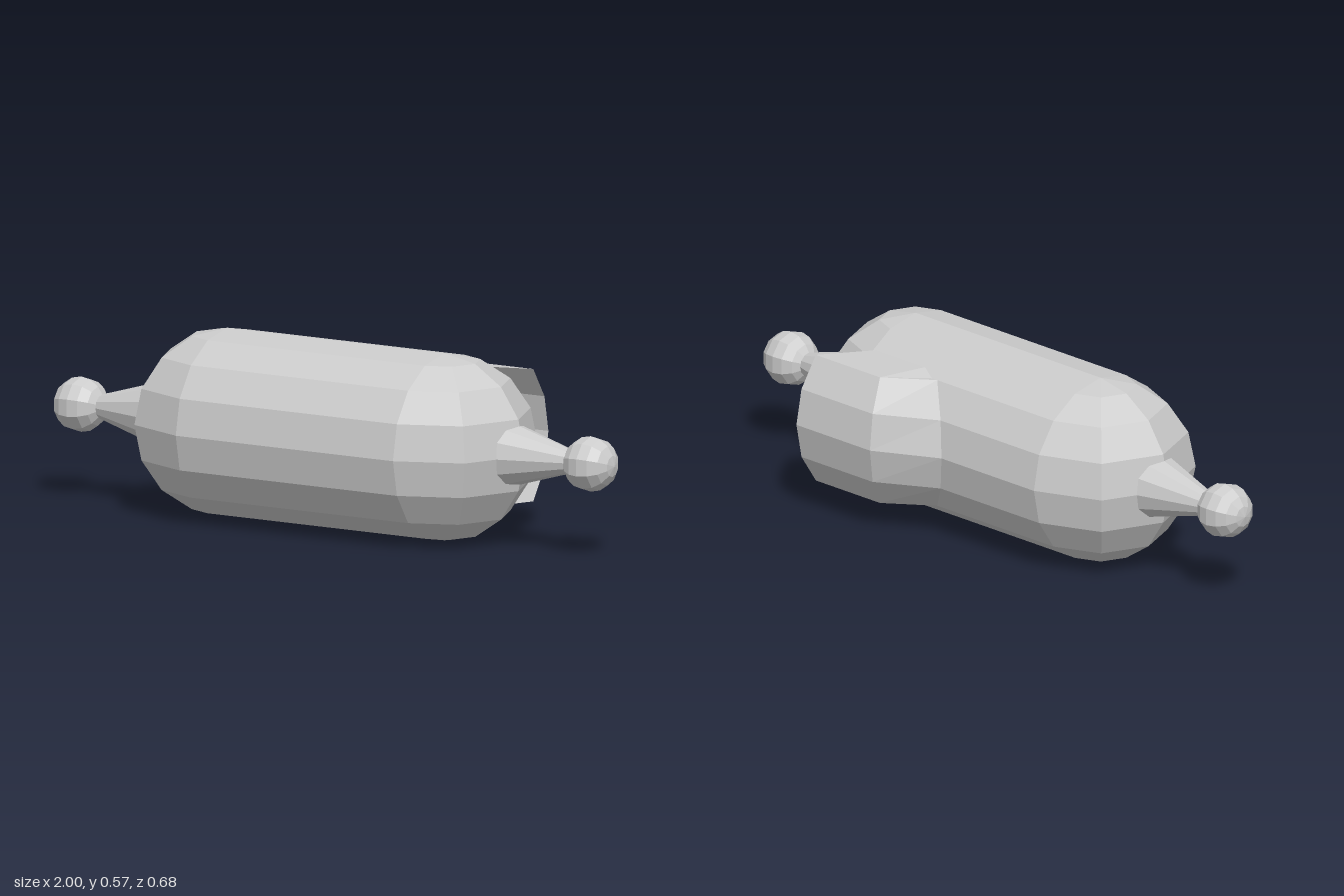
import * as THREE from 'three';

const R = 0.287, CY = 0.289, CZ = 0.052, HALF = 0.39;

export function createModel() {
  const model = new THREE.Group();
  const mat = new THREE.MeshStandardMaterial({ color: 0xcccccc, flatShading: true });
  const thin = new THREE.MeshStandardMaterial({ color: 0xcccccc, flatShading: true, side: THREE.DoubleSide });

  const add = (name, geometry, x, material = mat) => {
    const mesh = new THREE.Mesh(geometry, material);
    mesh.name = name;
    mesh.position.set(x, CY, CZ);
    model.add(mesh);
  };

  // 16-sided barrel along x
  add('body', new THREE.CylinderGeometry(R, R, HALF * 2, 16, 1, true).rotateZ(Math.PI / 2), 0);

  // Mirrored ends: half-sphere, tapered spike and ball
  for (const s of [1, -1]) {
    const side = s > 0 ? 'left' : 'right';
    add(side + 'BodyEnd', new THREE.SphereGeometry(R, 4, 8, s * Math.PI / 2, Math.PI), s * HALF);
    add(side + 'Spike', new THREE.CylinderGeometry(0.02, 0.098, 0.27, 12).rotateZ(-s * Math.PI / 2), s * 0.765);
    add(side + 'Ball', new THREE.SphereGeometry(0.085, 10, 8).rotateZ(-s * Math.PI / 2), s * 0.915);
  }

  add('scoop', scoopGeometry(), 0, thin);
  return model;
}

// Air scoop on the back: a strip of the barrel wall that ramps outward and ends open toward +x
function scoopGeometry() {
  const out = 0.104, pos = [], index = [];
  for (let i = -3; i <= 3; i++) {
    if (Math.abs(i) === 3) {
      // inner edge of the side walls, buried in the body
      const s = Math.sign(i), a = Math.PI / 4;
      pos.push(0.1, s * R * Math.sin(a), -R * Math.cos(a) + 0.02);
      pos.push(0.16, s * 0.222, -0.152, 0.35, s * 0.222, -0.152);
      continue;
    }
    const a = i * Math.PI / 8, y = R * Math.sin(a), z = -R * Math.cos(a), k = i * i;
    pos.push(0.025 * k, y, z); // start on the barrel
    pos.push(0.2 + 0.01 * k, y, z - out); // top of the ramp
    pos.push(0.51, y, z - out); // open mouth
  }
  for (let i = 0; i < 6; i++) {
    for (let j = 0; j < 2; j++) {
      const a = i * 3 + j, b = a + 3;
      index.push(a, b, a + 1, b, b + 1, a + 1);
    }
  }
  const g = new THREE.BufferGeometry();
  g.setAttribute('position', new THREE.Float32BufferAttribute(pos, 3));
  g.setIndex(index);
  g.computeVertexNormals();
  return g;
}
